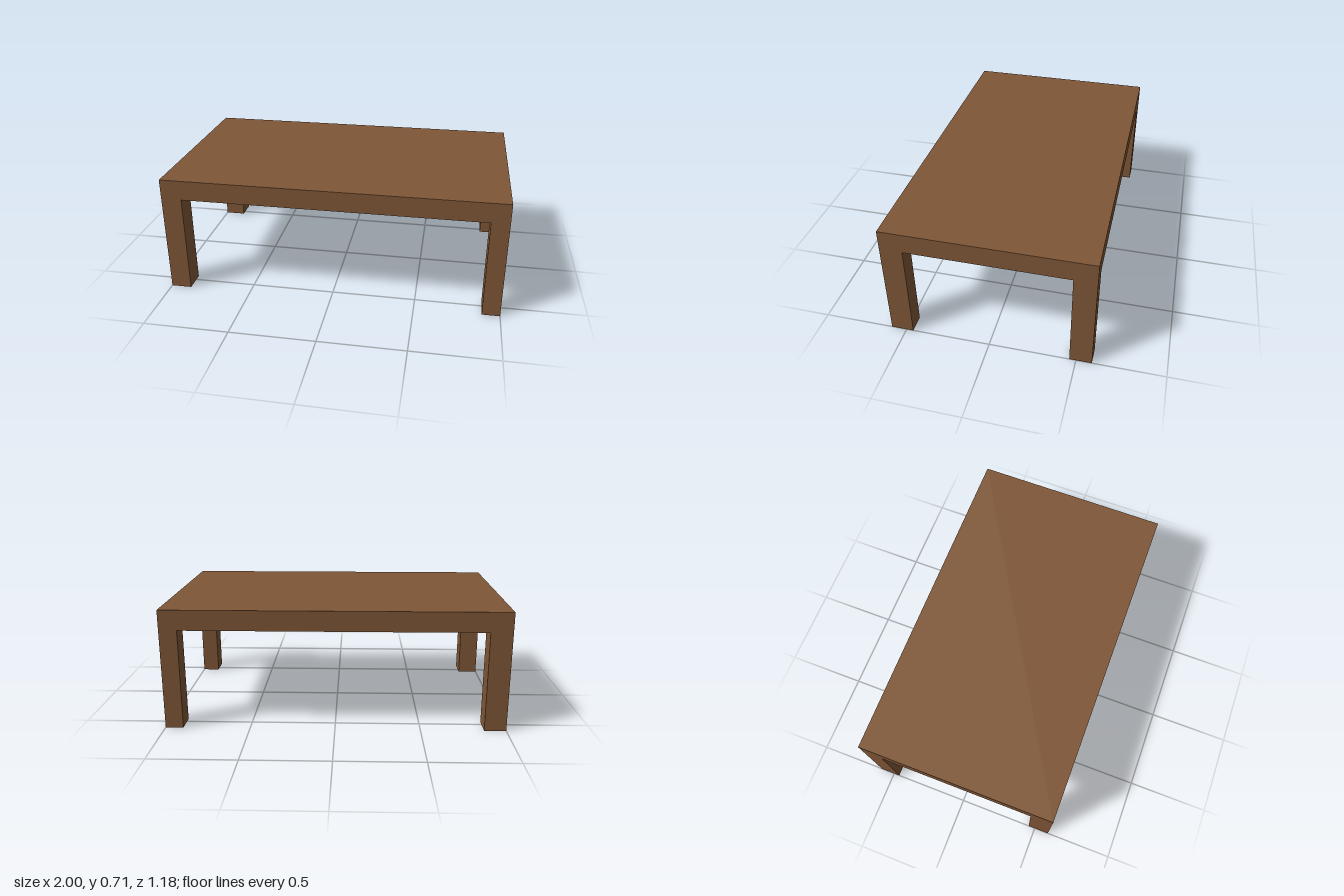
import * as THREE from 'three';

const HALF_X = 1, HALF_Z = 0.59, HEIGHT = 0.713, UNDERSIDE = 0.594;

export function createModel() {
  const table = new THREE.Group();
  table.name = 'table';
  const wood = new THREE.MeshStandardMaterial({ color: 0x7f5636 });
  wood.name = 'brown wood';

  const addBox = (name, w, h, d, x, y, z) => {
    const mesh = new THREE.Mesh(new THREE.BoxGeometry(w, h, d), wood);
    mesh.name = name;
    mesh.position.set(x, y, z);
    table.add(mesh);
  };

  // Thick slab top
  const thickness = HEIGHT - UNDERSIDE;
  addBox('tableTop', HALF_X * 2, thickness, HALF_Z * 2, 0, UNDERSIDE + thickness / 2, 0);

  // Square legs flush with the corners, each cut slightly differently
  const legs = [
    ['frontLeftLeg', 1, 1, 0.105, 0.131],
    ['frontRightLeg', -1, 1, 0.122, 0.131],
    ['backLeftLeg', 1, -1, 0.105, 0.127],
    ['backRightLeg', -1, -1, 0.128, 0.127],
  ];
  for (const [name, sx, sz, w, d] of legs) {
    addBox(name, w, UNDERSIDE, d, sx * (HALF_X - w / 2), UNDERSIDE / 2, sz * (HALF_Z - d / 2));
  }
  return table;
}
